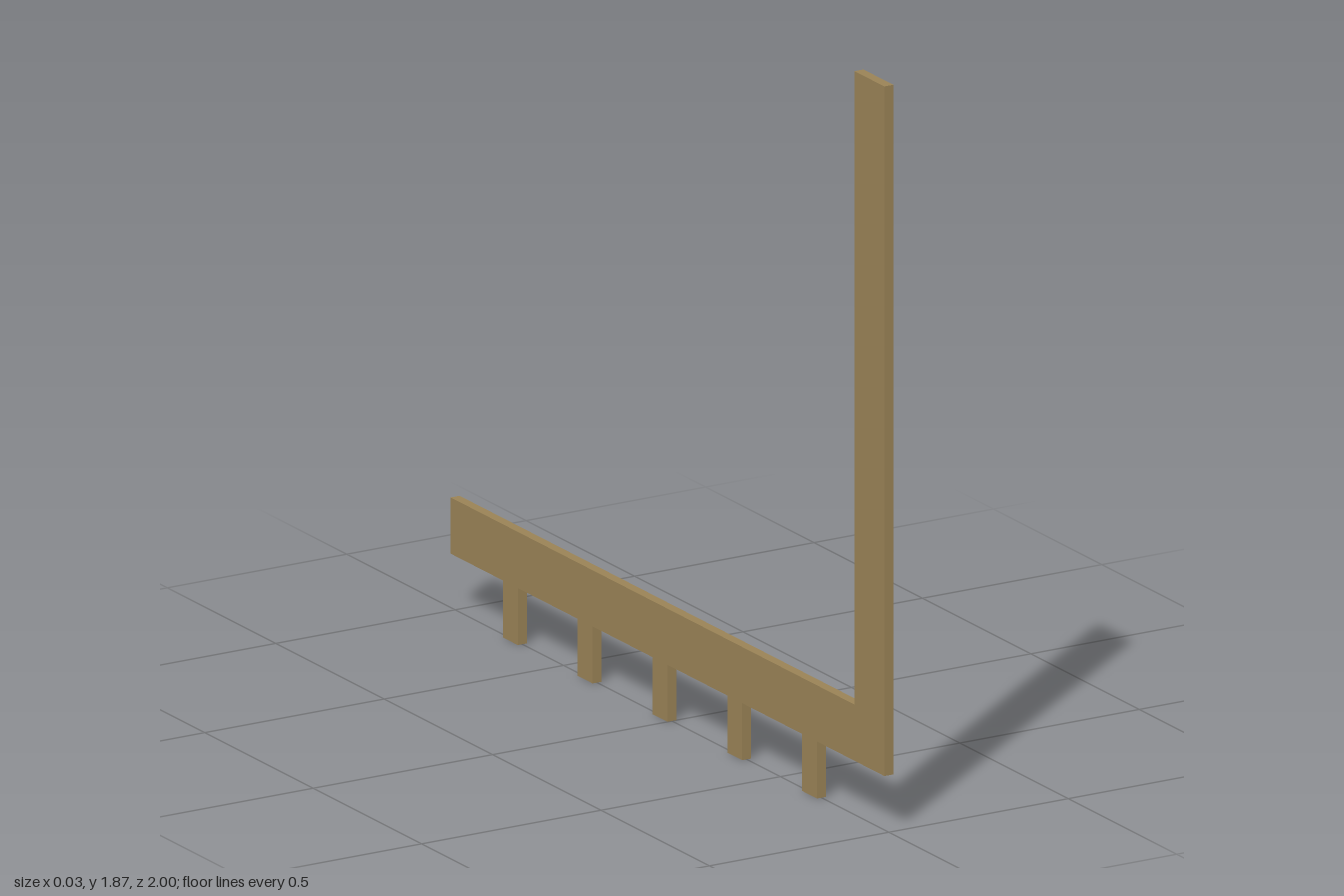
import * as THREE from 'three';

const THICKNESS = 0.025;

export function createModel() {
  const group = new THREE.Group();
  group.name = 'toothedBracket';
  const material = new THREE.MeshStandardMaterial({ color: 0x9a8356 });

  // L-shaped plate: upright post and long bar, outlined in (z, y)
  const outline = [[1, 0.143], [1, 1.873], [0.862, 1.873], [0.862, 0.284], [-1, 0.284], [-1, 0.143]];
  const shape = new THREE.Shape(outline.map(([z, y]) => new THREE.Vector2(-z, y)));
  const plateGeometry = new THREE.ExtrudeGeometry(shape, { depth: THICKNESS, bevelEnabled: false });
  plateGeometry.translate(0, 0, -THICKNESS / 2).rotateY(Math.PI / 2);
  const plate = new THREE.Mesh(plateGeometry, material);
  plate.name = 'postAndBar';
  group.add(plate);

  // Five evenly spaced teeth under the bar
  const toothGeometry = new THREE.BoxGeometry(THICKNESS, 0.143, 0.069);
  for (let i = 0; i < 5; i++) {
    const tooth = new THREE.Mesh(toothGeometry, material);
    tooth.name = `tooth${i + 1}`;
    tooth.position.set(0, 0.0715, 0.655 - 0.345 * i);
    group.add(tooth);
  }
  return group;
}
